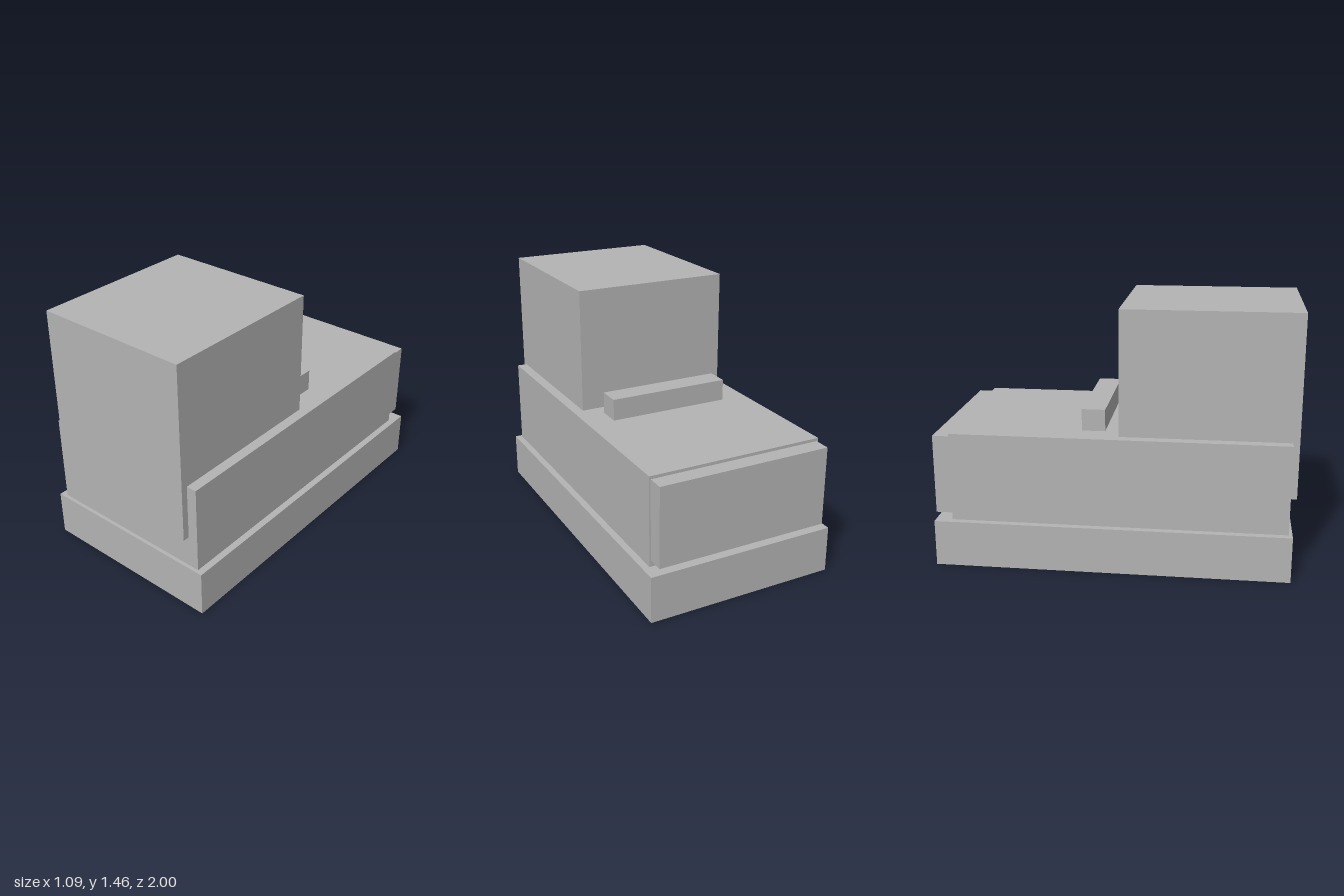
import * as THREE from 'three';

const grey = new THREE.MeshStandardMaterial({ color: 0xb4b4b4 });
grey.name = 'plain grey';

// Box centred on x, given its width and its y and z extents
function block(name, width, [y0, y1], [z0, z1]) {
  const mesh = new THREE.Mesh(new THREE.BoxGeometry(width, y1 - y0, z1 - z0), grey);
  mesh.name = name;
  mesh.position.set(0, (y0 + y1) / 2, (z0 + z1) / 2);
  return mesh;
}

export function createModel() {
  const model = new THREE.Group();
  model.name = 'blockModel';
  model.add(
    // Wide plinth under everything
    block('base', 1.085, [0, 0.263], [-1, 0.983]),
    // Long main body
    block('body', 1.008, [0.263, 0.767], [-0.906, 0.963]),
    // Tall block sunk into the front of the body
    block('frontTower', 0.892, [0.45, 1.464], [0.03, 1]),
    // Panel on the rear face, raised clear of the base
    block('rearPanel', 0.991, [0.3, 0.75], [-1, -0.906]),
    // Low crossbar on top, behind the tower
    block('crossbar', 0.705, [0.767, 0.89], [-0.187, -0.056]),
  );
  return model;
}
